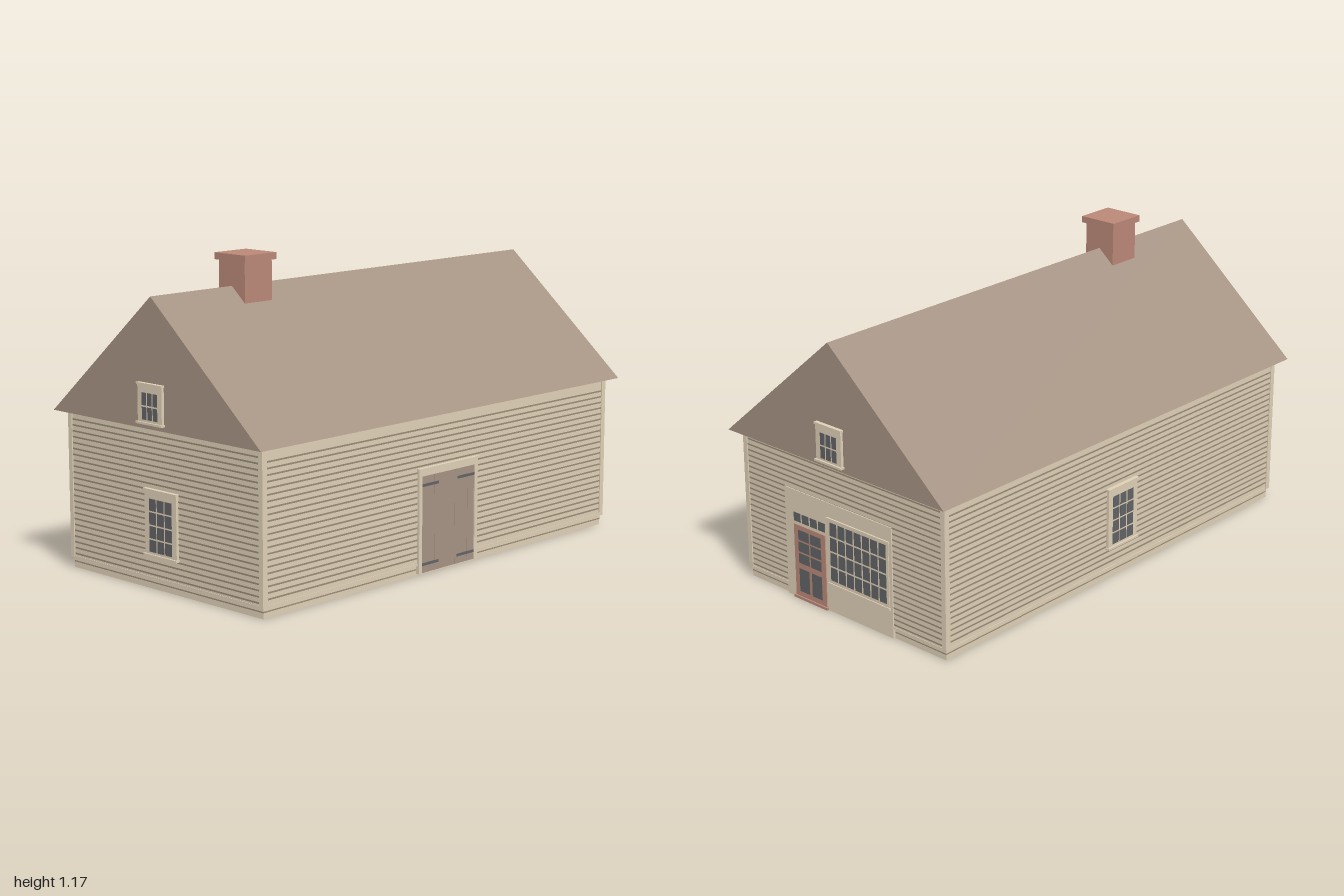
import * as THREE from 'three';

const mat = (name, color) => {
  const m = new THREE.MeshStandardMaterial({ color });
  m.name = name;
  return m;
};

export function createModel() {
  const tan = mat('tanBoards', 0xdfd0b6);
  const groove = mat('sidingGroove', 0x9b8d79);
  const brown = mat('weatheredBrown', 0xa59383);
  const brick = mat('brickRed', 0xba8878);
  const glass = mat('darkGlass', 0x626365);
  const iron = mat('ironGrey', 0x636265);

  const house = new THREE.Group();
  house.name = 'house';
  const W = 0.505, D = 0.94, EAVE = 0.592;

  // Box given by its limits on each axis
  const box = (parent, name, m, x0, x1, y0, y1, z0, z1) => {
    const mesh = new THREE.Mesh(new THREE.BoxGeometry(x1 - x0, y1 - y0, z1 - z0), m);
    mesh.position.set((x0 + x1) / 2, (y0 + y1) / 2, (z0 + z1) / 2);
    mesh.name = name;
    parent.add(mesh);
    return mesh;
  };
  // Group whose local +z points out of a wall
  const side = (name, angle, dist) => {
    const g = new THREE.Group();
    g.name = name;
    g.rotation.y = angle;
    g.position.set(Math.sin(angle) * dist, 0, Math.cos(angle) * dist);
    house.add(g);
    return g;
  };
  // Grid of panes lying on a surface at depth z
  const panes = (parent, name, x0, x1, y0, y1, cols, rows, gap, z) => {
    const w = (x1 - x0 - gap * (cols - 1)) / cols;
    const h = (y1 - y0 - gap * (rows - 1)) / rows;
    for (let c = 0; c < cols; c++)
      for (let r = 0; r < rows; r++) {
        const x = x0 + c * (w + gap), y = y0 + r * (h + gap);
        box(parent, name, glass, x, x + w, y, y + h, z - 0.001, z + 0.001);
      }
  };
  // Framed window with head cap and sill
  const windowUnit = (parent, hw, y0, y1, px, py0, py1, cols, rows) => {
    const g = new THREE.Group();
    g.name = 'window';
    box(g, 'windowFrame', tan, -hw, hw, y0, y1, -0.004, 0.011);
    box(g, 'windowHead', tan, -hw - 0.003, hw + 0.003, y1 - 0.005, y1 + 0.003, -0.004, 0.015);
    box(g, 'windowSill', tan, -hw - 0.004, hw + 0.004, y0 - 0.006, y0 + 0.002, -0.004, 0.018);
    panes(g, 'windowPane', -px, px, py0, py1, cols, rows, 0.006, 0.011);
    parent.add(g);
  };

  // Hollow wall ring, open below
  const ring = (name, m, w, d, y0, y1) => {
    const rect = (P, a, b) => new P([[-a, -b], [a, -b], [a, b], [-a, b]].map(p => new THREE.Vector2(...p)));
    const shape = rect(THREE.Shape, w, d);
    shape.holes.push(rect(THREE.Path, W - 0.012, D - 0.012));
    const geo = new THREE.ExtrudeGeometry(shape, { depth: y1 - y0, bevelEnabled: false });
    geo.rotateX(-Math.PI / 2);
    const mesh = new THREE.Mesh(geo, m);
    mesh.position.y = y0;
    mesh.name = name;
    house.add(mesh);
  };
  ring('plinth', tan, 0.5, D - 0.005, 0, 0.021);
  ring('plinthLine', groove, 0.5, D - 0.005, 0.021, 0.026);
  ring('waterTable', tan, 0.5, D - 0.005, 0.026, 0.038);
  ring('bottomBoard', tan, W + 0.002, D + 0.002, 0.038, 0.046);
  ring('walls', tan, W, D, 0.046, EAVE);
  box(house, 'ceiling', tan, 0.012 - W, W - 0.012, 0.586, 0.591, 0.012 - D, D - 0.012);

  // Corner boards
  for (const sx of [-1, 1])
    for (const sz of [-1, 1]) {
      const a = box(house, 'cornerBoard', tan, W - 0.016, W + 0.004, 0.038, EAVE, D - 0.008, D + 0.004);
      a.position.x *= sx; a.position.z *= sz;
      const b = box(house, 'cornerBoard', tan, W - 0.008, W + 0.004, 0.038, EAVE, D - 0.018, D + 0.004);
      b.position.x *= sx; b.position.z *= sz;
    }

  const front = side('frontWall', 0, D);
  const back = side('backWall', Math.PI, D);
  const left = side('leftWall', Math.PI / 2, W);
  const right = side('rightWall', -Math.PI / 2, W);

  // Clapboard lines
  const siding = (wall, hw, y0, y1, n) => {
    for (let i = 0; i < n; i++) {
      const y = y0 + (y1 - y0) * i / (n - 1);
      box(wall, 'sidingLine', groove, -hw, hw, y - 0.003, y + 0.003, -0.002, 0.001);
    }
  };
  for (const w of [front, back]) siding(w, 0.488, 0.055, 0.56, 24);
  for (const w of [left, right]) siding(w, 0.922, 0.067, 0.543, 22);

  // Ground floor windows
  for (const w of [front, right]) windowUnit(w, 0.083, 0.13, 0.365, 0.059, 0.14, 0.333, 3, 4);

  // Roof prism with gable ends
  const tri = new THREE.Shape();
  tri.moveTo(-0.543, EAVE);
  tri.lineTo(0.543, EAVE);
  tri.lineTo(0, 1.06);
  const roofGeo = new THREE.ExtrudeGeometry(tri, { depth: 1.964, bevelEnabled: false });
  roofGeo.translate(0, 0, -0.982);
  const roof = new THREE.Mesh(roofGeo, brown);
  roof.name = 'roof';
  house.add(roof);

  // Gable windows
  for (const a of [0, Math.PI])
    windowUnit(side('gable', a, 0.982), 0.063, 0.616, 0.753, 0.04, 0.626, 0.722, 3, 2);

  // Chimney
  box(house, 'chimney', brick, -0.067, 0.067, 0.9, 1.15, 0.462, 0.596);
  box(house, 'chimneyCap', brick, -0.079, 0.079, 1.15, 1.175, 0.45, 0.606);

  // Double barn door of planks
  const barn = new THREE.Group();
  barn.name = 'barnDoor';
  left.add(barn);
  box(barn, 'doorHeader', tan, -0.162, 0.162, 0.37, 0.392, -0.006, 0.01);
  box(barn, 'doorCap', tan, -0.166, 0.166, 0.392, 0.4, -0.006, 0.014);
  const seams = [0, 0.04, 0.073, 0.11, 0.146];
  for (const s of [-1, 1]) {
    const at = (name, m, x0, x1, y0, y1, z0, z1) => {
      box(barn, name, m, x0, x1, y0, y1, z0, z1).position.x *= s;
    };
    at('doorJamb', tan, 0.146, 0.162, 0.008, 0.37, -0.006, 0.01);
    for (let i = 0; i < 4; i++)
      at('doorPlank', brown, seams[i], seams[i + 1], 0.008, 0.37, -0.006, i % 2 ? 0.005 : 0.004);
    for (const y of [0.04, 0.335])
      at('strapHinge', iron, 0.052, 0.146, y - 0.005, y + 0.005, 0.004, 0.007);
  }

  // Shop front, local x runs opposite to the model's x
  const shop = new THREE.Group();
  shop.name = 'shopFront';
  back.add(shop);
  box(shop, 'shopPanel', tan, -0.292, 0.252, 0.002, 0.43, -0.008, 0.005);
  box(shop, 'shopWindowFrame', tan, -0.068, 0.238, 0.118, 0.368, 0, 0.008);
  box(shop, 'shopWindowSill', tan, -0.072, 0.242, 0.108, 0.118, 0, 0.012);
  box(shop, 'shopWindowHead', tan, -0.072, 0.242, 0.366, 0.374, 0, 0.011);
  panes(shop, 'shopPane', -0.056, 0.226, 0.13, 0.358, 7, 4, 0.007, 0.008);
  panes(shop, 'transomPane', -0.246, -0.084, 0.308, 0.342, 4, 1, 0.008, 0.006);
  box(shop, 'shopDoor', brick, -0.246, -0.084, 0.01, 0.296, 0, 0.008);
  panes(shop, 'doorPane', -0.224, -0.106, 0.146, 0.278, 2, 3, 0.007, 0.008);
  panes(shop, 'doorLowerPane', -0.224, -0.106, 0.032, 0.124, 2, 1, 0.014, 0.008);
  box(shop, 'doorThreshold', brick, -0.252, -0.078, 0.002, 0.012, 0, 0.014);

  return house;
}
